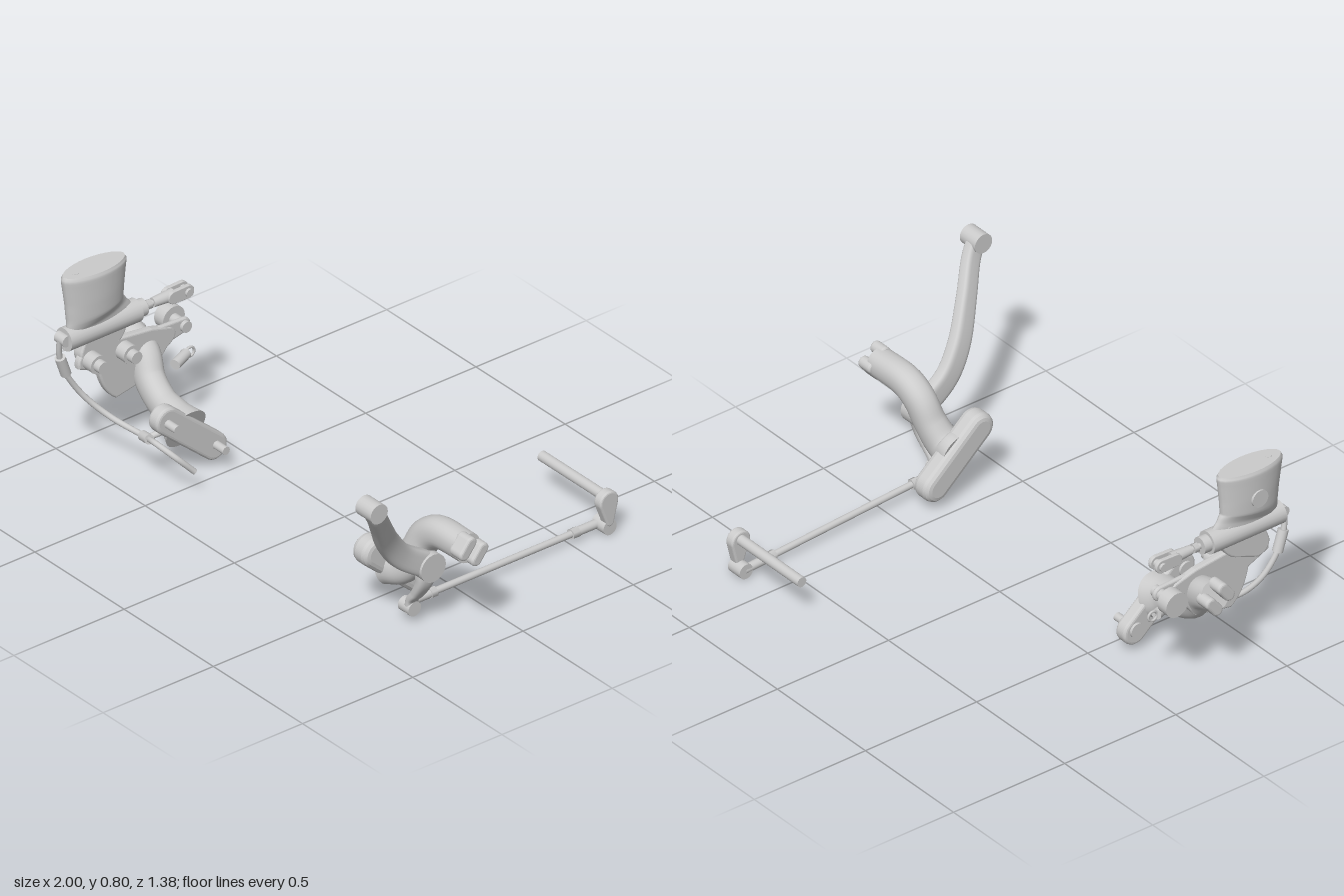
import * as THREE from 'three';

const mat = new THREE.MeshStandardMaterial({ color: 0xcccccc, side: THREE.DoubleSide });
const V = (p) => new THREE.Vector3(p[0], p[1], p[2]);

function add(group, name, geo) {
  const m = new THREE.Mesh(geo, mat);
  m.name = name;
  group.add(m);
  return m;
}

// Cylinder between two points
function rod(group, name, a, b, ra, rb = ra, sides = 20) {
  const d = V(b).sub(V(a));
  const m = add(group, name, new THREE.CylinderGeometry(rb, ra, d.length(), sides));
  m.position.copy(V(a)).addScaledVector(d, 0.5);
  m.quaternion.setFromUnitVectors(new THREE.Vector3(0, 1, 0), d.normalize());
  return m;
}
const pin = (g, name, x0, x1, y, z, r) => rod(g, name, [x0, y, z], [x1, y, z], r);

// Shape drawn in (z, y), extruded from x0 to x1 with a bevel
function slab(group, name, shape, x0, x1, bevel = 0.008) {
  const geo = new THREE.ExtrudeGeometry(shape, {
    depth: x1 - x0 - 2 * bevel, bevelThickness: bevel, bevelSize: bevel,
    bevelOffset: -bevel, bevelSegments: 3, curveSegments: 16,
  });
  const m = add(group, name, geo);
  m.rotation.y = -Math.PI / 2;
  m.position.x = x1 - bevel;
  return m;
}

// Outline around two circles [z, y, r]
function pill(a, b) {
  const dx = b[0] - a[0], dy = b[1] - a[1];
  const d = Math.atan2(dy, dx), k = Math.acos((a[2] - b[2]) / Math.hypot(dx, dy));
  const s = new THREE.Shape();
  s.absarc(a[0], a[1], a[2], d + k, d - k + 2 * Math.PI, false);
  s.absarc(b[0], b[1], b[2], d - k, d + k, false);
  s.closePath();
  return s;
}

// Sweep of rounded sections; each station is [x, y, z, half size along ref, other half size]
function loft(group, name, st, ref, e = 1, steps = 28, sides = 28) {
  const curve = new THREE.CatmullRomCurve3(st.map(V), false, 'centripetal');
  const pos = [], idx = [], n = st.length - 1;
  for (let i = 0; i <= steps; i++) {
    const t = i / steps, k = Math.min(n - 1, Math.floor(t * n)), f = t * n - k;
    const c = curve.getPoint(t), T = curve.getTangent(t);
    const B = V(ref).addScaledVector(T, -T.dot(V(ref))).normalize();
    const N = T.clone().cross(B);
    const w = THREE.MathUtils.lerp(st[k][3], st[k + 1][3], f);
    const h = THREE.MathUtils.lerp(st[k][4], st[k + 1][4], f);
    for (let j = 0; j < sides; j++) {
      const a = (j / sides) * Math.PI * 2, co = Math.cos(a), si = Math.sin(a);
      const p = c.clone()
        .addScaledVector(B, w * Math.sign(co) * Math.abs(co) ** e)
        .addScaledVector(N, h * Math.sign(si) * Math.abs(si) ** e);
      pos.push(p.x, p.y, p.z);
    }
  }
  for (let i = 0; i < steps; i++) for (let j = 0; j < sides; j++) {
    const a = i * sides + j, b = i * sides + (j + 1) % sides;
    idx.push(a, b, b + sides, a, b + sides, a + sides);
  }
  // Flat end caps with their own vertices
  for (const end of [0, steps]) {
    const base = pos.length / 3, c = curve.getPoint(end / steps);
    pos.push(...pos.slice(end * sides * 3, (end + 1) * sides * 3), c.x, c.y, c.z);
    for (let j = 0; j < sides; j++) {
      const p = base + j, q = base + (j + 1) % sides;
      idx.push(base + sides, end ? p : q, end ? q : p);
    }
  }
  const geo = new THREE.BufferGeometry();
  geo.setAttribute('position', new THREE.Float32BufferAttribute(pos, 3));
  geo.setIndex(idx);
  geo.computeVertexNormals();
  return add(group, name, geo);
}

function tube(group, name, pts, r) {
  const c = new THREE.CatmullRomCurve3(pts.map(V));
  return add(group, name, new THREE.TubeGeometry(c, 60, r, 12));
}

// Two prongs either side of a tilted slot that holds the foot peg
function fork(group, x0, x1) {
  for (const s of [-1, 1]) {
    const z = 0.207 + s * 0.027, y = 0.404 + s * 0.021;
    slab(group, 'forkProng', pill([z + 0.015, y - 0.019, 0.023], [z - 0.015, y + 0.019, 0.023]), x0, x1, 0.01);
  }
}

function shiftSide() {
  const g = new THREE.Group();
  g.name = 'shiftSide';
  slab(g, 'mountPlate', pill([0.15, 0.1, 0.058], [0.345, 0.272, 0.058]), 0.53, 0.615, 0.025);
  loft(g, 'pegArm', [
    [0.57, 0.19, 0.26, 0.075, 0.08], [0.635, 0.205, 0.25, 0.06, 0.068], [0.685, 0.275, 0.23, 0.056, 0.062],
    [0.725, 0.355, 0.215, 0.055, 0.062], [0.79, 0.397, 0.21, 0.055, 0.06], [0.95, 0.404, 0.207, 0.054, 0.056],
  ], [0, 0, 1], 0.9);
  fork(g, 0.92, 0.988);

  // Shift lever with toe peg
  loft(g, 'pivotBoss', [[0.65, 0.23, 0.25, 0.055, 0.055], [0.74, 0.27, 0.25, 0.045, 0.045]], [0, 0, 1]);
  pin(g, 'leverPivot', 0.725, 0.808, 0.27, 0.25, 0.056);
  loft(g, 'shiftLever', [
    [0.77, 0.27, 0.25, 0.028, 0.05], [0.775, 0.355, 0.373, 0.027, 0.047], [0.8, 0.45, 0.45, 0.027, 0.044],
    [0.87, 0.58, 0.54, 0.025, 0.038], [0.935, 0.68, 0.612, 0.024, 0.035], [0.953, 0.735, 0.65, 0.024, 0.034],
  ], [1, 0, 0], 0.5);
  pin(g, 'toePeg', 0.912, 0.998, 0.735, 0.65, 0.039);
  loft(g, 'lowerLever', [
    [0.765, 0.27, 0.25, 0.026, 0.048], [0.765, 0.2, 0.257, 0.022, 0.036],
    [0.735, 0.14, 0.262, 0.018, 0.028], [0.705, 0.1, 0.264, 0.015, 0.026], [0.7, 0.05, 0.264, 0.014, 0.026],
  ], [1, 0, 0], 0.7);
  pin(g, 'lowerJoint', 0.66, 0.72, 0.066, 0.264, 0.029);

  // Linkage to the shift shaft
  const a = [0.668, 0.066, 0.264], b = [0.633, 0.037, -0.65];
  const at = (t) => a.map((v, i) => v + (b[i] - v) * t);
  rod(g, 'linkRod', a, b, 0.013);
  rod(g, 'frontRodEnd', a, at(0.13), 0.017);
  rod(g, 'rearRodEnd', at(0.87), b, 0.017);
  rod(g, 'frontLockNut', at(0.12), at(0.15), 0.021, 0.021, 6);
  rod(g, 'rearLockNut', at(0.845), at(0.88), 0.021, 0.021, 6);
  pin(g, 'rearJoint', 0.618, 0.685, 0.037, -0.65, 0.03);
  slab(g, 'shaftArm', pill([-0.65, 0.06, 0.017], [-0.645, 0.145, 0.042]), 0.65, 0.69);
  pin(g, 'shiftShaft', 0.305, 0.67, 0.155, -0.648, 0.02);
  return g;
}

function brakeSide() {
  const g = new THREE.Group();
  g.name = 'brakeSide';
  slab(g, 'mountPlate', pill([0.14, 0.09, 0.053], [0.355, 0.275, 0.053]), -0.6, -0.545, 0.012);
  for (const [y, z] of [[0.27, 0.36], [0.1, 0.14]]) {
    pin(g, 'mountBolt', -0.56, -0.49, y, z, 0.016);
    pin(g, 'boltHead', -0.61, -0.585, y, z, 0.03);
  }
  loft(g, 'pegArm', [
    [-0.575, 0.195, 0.255, 0.085, 0.085], [-0.63, 0.215, 0.255, 0.063, 0.068], [-0.71, 0.238, 0.25, 0.052, 0.06],
    [-0.8, 0.288, 0.235, 0.052, 0.062], [-0.86, 0.365, 0.215, 0.054, 0.062], [-0.96, 0.404, 0.207, 0.054, 0.056],
  ], [0, 0, 1], 0.9);
  fork(g, -0.998, -0.93);

  // Bracket carrying the cylinder and the pedal stub
  const s = new THREE.Shape();
  s.moveTo(0.53, 0.42);
  s.quadraticCurveTo(0.54, 0.48, 0.47, 0.49);
  s.lineTo(0.33, 0.48);
  s.lineTo(0.2, 0.465);
  s.lineTo(0.11, 0.44);
  s.quadraticCurveTo(0.06, 0.4, 0.13, 0.36);
  s.lineTo(0.2, 0.27);
  s.lineTo(0.36, 0.24);
  s.quadraticCurveTo(0.42, 0.28, 0.44, 0.38);
  s.closePath();
  slab(g, 'bracket', s, -0.862, -0.832);
  for (const [y, z] of [[0.43, 0.33], [0.445, 0.48]]) {
    pin(g, 'bracketBolt', -0.85, -0.785, y, z, 0.036);
    pin(g, 'bracketBoltHead', -0.79, -0.755, y, z, 0.024);
  }
  pin(g, 'pedalStubDisc', -0.945, -0.895, 0.42, 0.05, 0.05);
  pin(g, 'pedalStubStem', -0.9, -0.82, 0.42, 0.05, 0.022);
  slab(g, 'pedalStubArm', pill([0.16, 0.41, 0.045], [0.05, 0.42, 0.03]), -0.855, -0.835);

  // Return spring with a hook at its rear end
  rod(g, 'returnSpring', [-0.79, 0.31, 0.13], [-0.82, 0.315, 0.055], 0.02);
  const hook = add(g, 'springHook', new THREE.TorusGeometry(0.019, 0.005, 8, 20));
  hook.position.set(-0.82, 0.315, 0.038);
  hook.rotation.y = Math.PI / 2;

  // Master cylinder and push rod, running along z
  const cx = -0.855, cy = 0.555;
  const along = (name, z0, z1, r, n) => rod(g, name, [cx, cy, z0], [cx, cy, z1], r, r, n);
  along('masterCylinder', 0.255, 0.58, 0.045);
  along('cylinderCollar', 0.222, 0.26, 0.033);
  along('pushRod', 0.1, 0.23, 0.011);
  along('pushRodNut', 0.19, 0.21, 0.019, 6);
  rod(g, 'clevisNeck', [cx, cy, 0.18], [cx, cy, 0.09], 0.018, 0.024);
  for (const x of [-0.88, -0.846]) {
    slab(g, 'clevisCheek', pill([0.1, cy, 0.025], [0.036, cy, 0.027]), x, x + 0.016, 0.003);
  }
  pin(g, 'clevisPin', -0.89, -0.82, cy, 0.036, 0.016);
  slab(g, 'cylinderFoot', pill([0.47, 0.47, 0.05], [0.4, 0.54, 0.09]), -0.88, -0.832);

  // Fluid reservoir blending into the cylinder
  loft(g, 'reservoir', [
    [cx, 0.55, 0.425, 0.03, 0.16], [cx, 0.595, 0.435, 0.034, 0.138], [cx, 0.635, 0.442, 0.054, 0.125],
    [cx, 0.7, 0.444, 0.058, 0.13], [cx, 0.795, 0.446, 0.06, 0.144], [cx, 0.811, 0.446, 0.054, 0.136],
  ], [1, 0, 0], 1.05);
  pin(g, 'reservoirBoss', -0.92, -0.87, 0.695, 0.445, 0.035);
  rod(g, 'fillerScrew', [cx, 0.79, 0.53], [cx, 0.812, 0.53], 0.013);

  // Brake hose with its fittings
  pin(g, 'banjoFitting', -0.88, -0.83, 0.56, 0.585, 0.022);
  tube(g, 'brakeHose', [
    [-0.856, 0.56, 0.6], [-0.865, 0.5, 0.595], [-0.87, 0.42, 0.57], [-0.85, 0.3, 0.5], [-0.78, 0.215, 0.43],
    [-0.65, 0.185, 0.39], [-0.55, 0.205, 0.41], [-0.48, 0.17, 0.38], [-0.45, 0.1, 0.315],
  ], 0.011);
  rod(g, 'hoseFerrule', [-0.866, 0.48, 0.59], [-0.87, 0.4, 0.56], 0.02);
  rod(g, 'hoseClip', [-0.65, 0.185, 0.39], [-0.6, 0.195, 0.4], 0.019);
  rod(g, 'hoseClipArm', [-0.62, 0.19, 0.39], [-0.58, 0.22, 0.33], 0.012);
  return g;
}

export function createModel() {
  const model = new THREE.Group();
  model.name = 'footControls';
  model.add(shiftSide(), brakeSide());
  return model;
}
